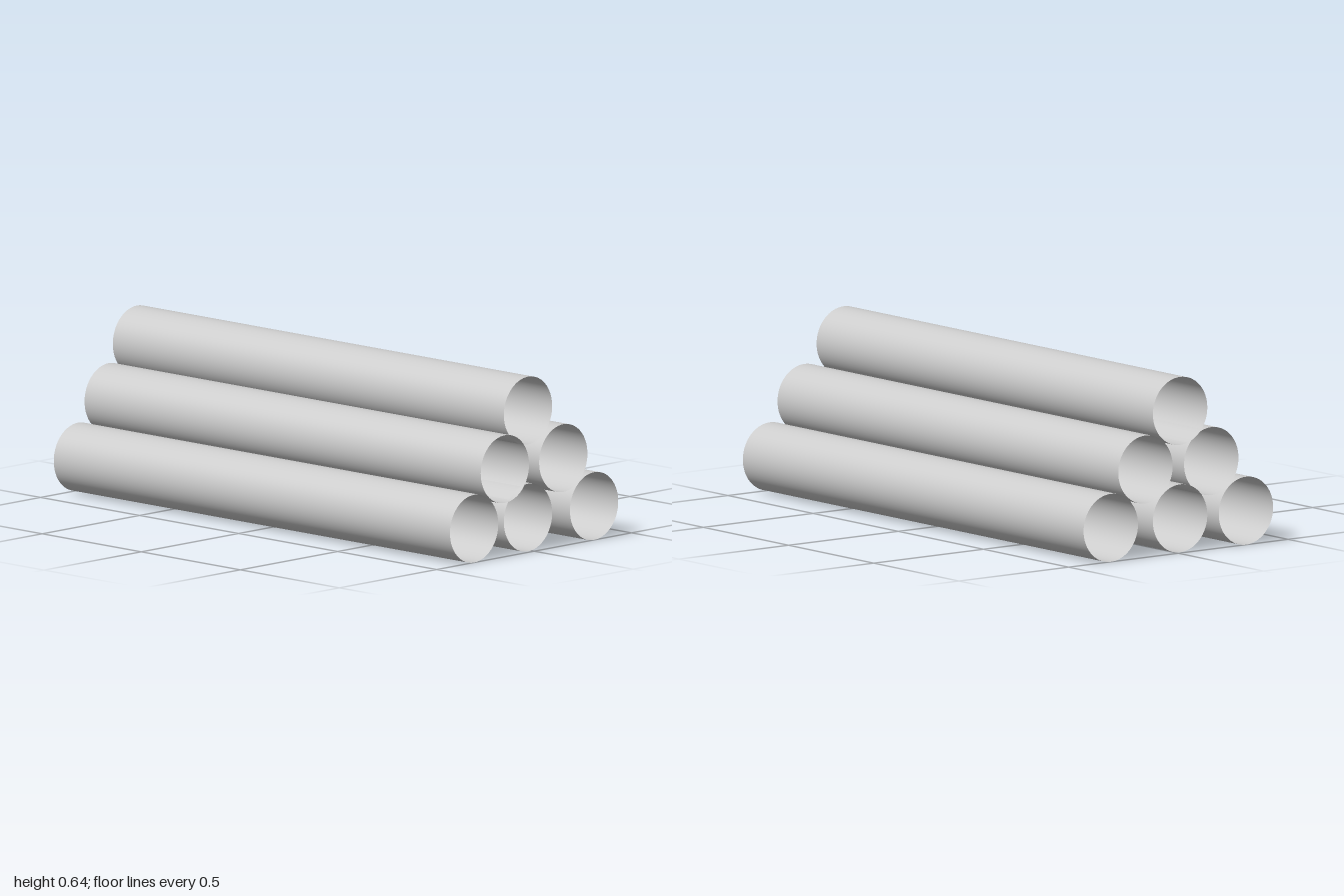
import * as THREE from 'three';

const R = 0.124;

// Each pipe: name, height of its axis, depth of its axis, length
const PIPES = [
  ['bottomFrontPipe', R, 0.308, 2],
  ['bottomMiddlePipe', R, 0.018, 1.974],
  ['bottomBackPipe', R, -0.308, 2],
  ['middleFrontPipe', 0.321, 0.15, 2],
  ['middleBackPipe', 0.321, -0.15, 2],
  ['topPipe', 0.516, 0.018, 1.974],
];

export function createModel() {
  const group = new THREE.Group();
  group.name = 'pipeStack';
  const material = new THREE.MeshStandardMaterial({ color: 0xcccccc, side: THREE.DoubleSide });

  // Thin open tubes lying along x, stacked three, two, one
  for (const [name, y, z, length] of PIPES) {
    const geometry = new THREE.CylinderGeometry(R, R, length, 64, 1, true);
    geometry.rotateZ(Math.PI / 2);
    const pipe = new THREE.Mesh(geometry, material);
    pipe.name = name;
    pipe.position.set(0, y, z);
    group.add(pipe);
  }
  return group;
}
